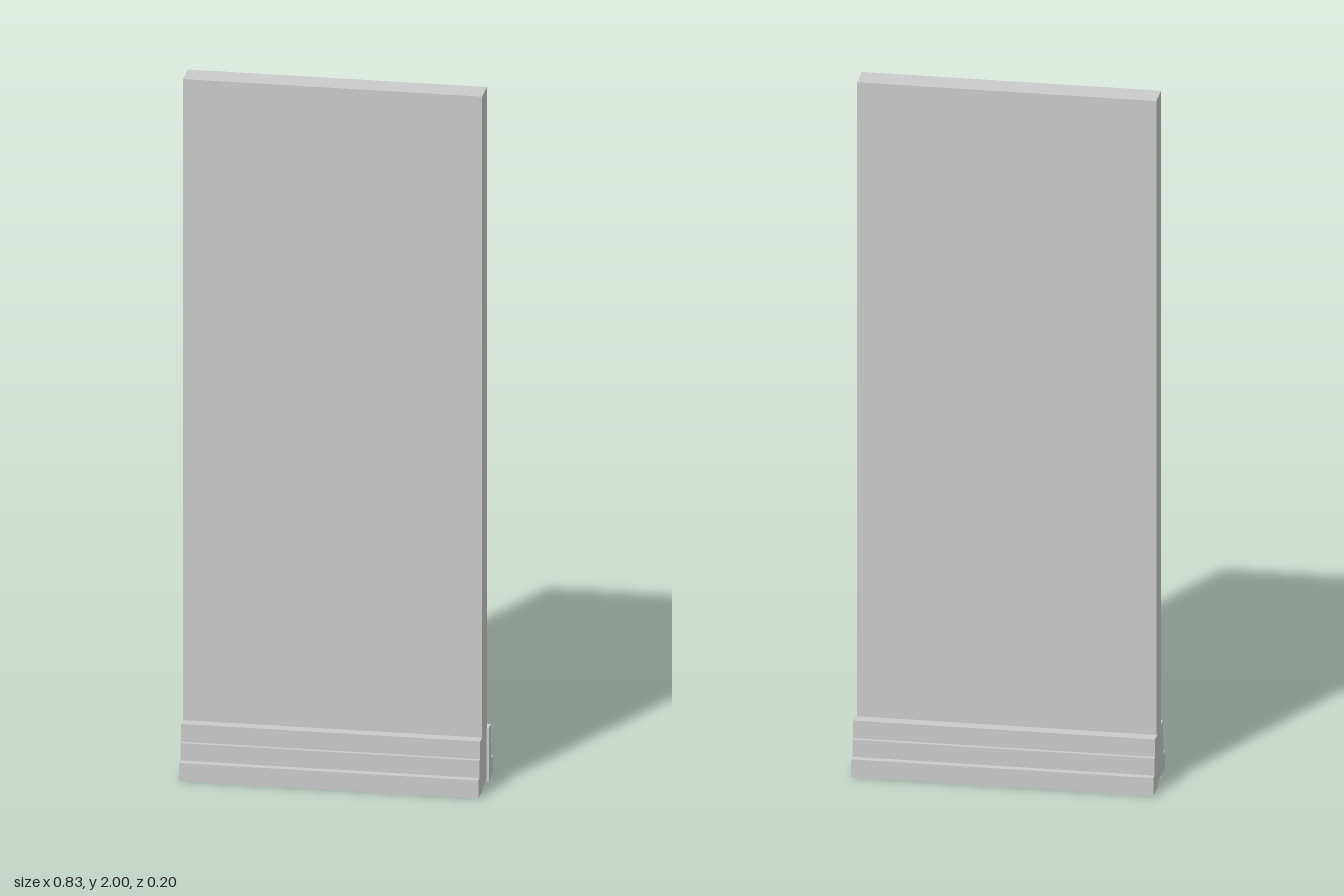
import * as THREE from 'three';

const material = new THREE.MeshStandardMaterial({ color: 0xcccccc, flatShading: true });

// Stepped board: profile in (z, y), extruded along x from x0 to x1
function skirting(name, profile, x0, x1) {
  const shape = new THREE.Shape(profile.map(([z, y]) => new THREE.Vector2(-z, y)));
  const geometry = new THREE.ExtrudeGeometry(shape, { depth: x1 - x0, bevelEnabled: false });
  geometry.rotateY(Math.PI / 2);
  geometry.translate(x0, 0, 0);
  const mesh = new THREE.Mesh(geometry, material);
  mesh.name = name;
  return mesh;
}

// Three-tier profile running from the wall face outwards
function steps(inner, tiers) {
  const [low, mid, high] = tiers;
  return [
    [inner, 0], [low, 0], [low, 0.052], [mid, 0.052],
    [mid, 0.102], [high, 0.102], [high, 0.153], [inner, 0.153],
  ];
}

export function createModel() {
  const model = new THREE.Group();
  model.name = 'wallPanel';

  // Upright wall slab, its underside just above the floor
  const left = 0.407, right = -0.413, bottom = 0.007;
  const wall = new THREE.Mesh(new THREE.BoxGeometry(left - right, 2 - bottom, 0.076), material);
  wall.name = 'wall';
  wall.position.set((left + right) / 2, (2 + bottom) / 2, 0);
  model.add(wall);

  // Skirting boards; the back one is slightly longer
  model.add(skirting('frontSkirting', steps(0.035, [0.1, 0.08, 0.069]), right, left));
  model.add(skirting('backSkirting', steps(-0.034, [-0.101, -0.082, -0.071]), -0.415, 0.413));
  return model;
}
